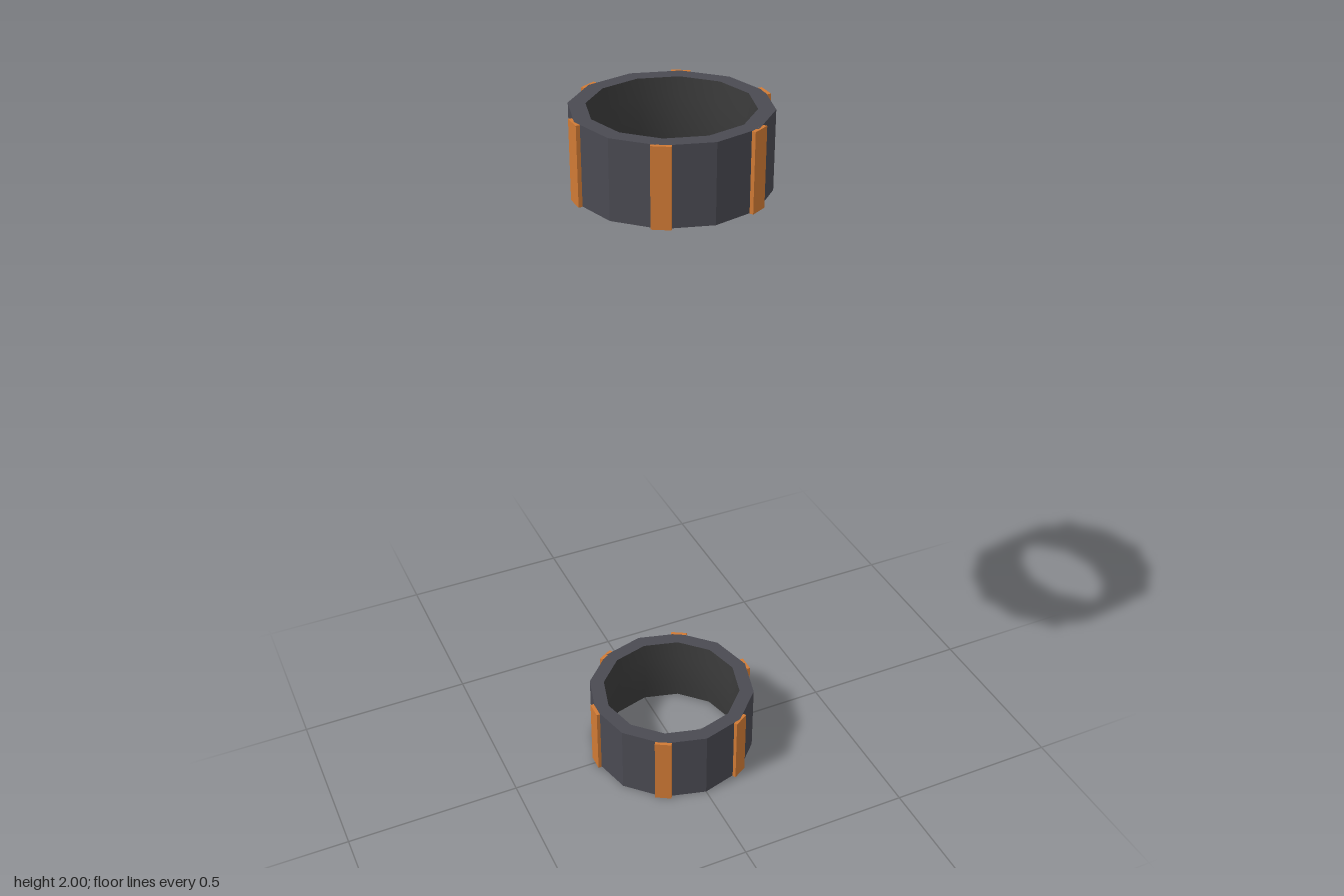
import * as THREE from 'three';

const SIDES = 12, OUTER = 0.244, INNER = 0.202, BORE = 0.195;

export function createModel() {
  const metal = new THREE.MeshStandardMaterial({ name: 'dark grey metal', color: 0x4a4a52 });
  metal.flatShading = true;
  const lining = new THREE.MeshStandardMaterial({ name: 'charcoal lining', color: 0x3a3a3a });
  const orange = new THREE.MeshStandardMaterial({ name: 'orange', color: 0xd07a35 });

  const lathe = (points) =>
    new THREE.LatheGeometry(points.map(([r, y]) => new THREE.Vector2(r, y)), SIDES);

  // One collar: faceted band, gently bulging lining and six upright strips
  function collar(name, bottom, height) {
    const group = new THREE.Group();
    group.name = name;
    group.position.y = bottom;

    const band = new THREE.Mesh(
      lathe([[INNER, 0], [OUTER, 0], [OUTER, height], [INNER, height]]), metal);
    band.name = 'band';
    group.add(band);

    const inside = new THREE.Mesh(lathe([
      [INNER, height], [BORE + 0.002, height * 0.75], [BORE, height * 0.5],
      [BORE + 0.002, height * 0.25], [INNER, 0],
    ]), lining);
    inside.name = 'lining';
    group.add(inside);

    // Strips sit on every second corner of the band
    for (let i = 0; i < 6; i++) {
      const angle = (i * Math.PI) / 3;
      const strip = new THREE.Mesh(new THREE.BoxGeometry(0.01, height, 0.048), orange);
      strip.name = 'strip';
      strip.position.set(Math.cos(angle) * 0.244, height / 2, Math.sin(angle) * 0.244);
      strip.rotation.y = -angle;
      group.add(strip);
    }
    return group;
  }

  const model = new THREE.Group();
  model.name = 'collarPair';
  model.add(collar('lowerCollar', 0, 0.21), collar('upperCollar', 1.8, 0.2));
  return model;
}
